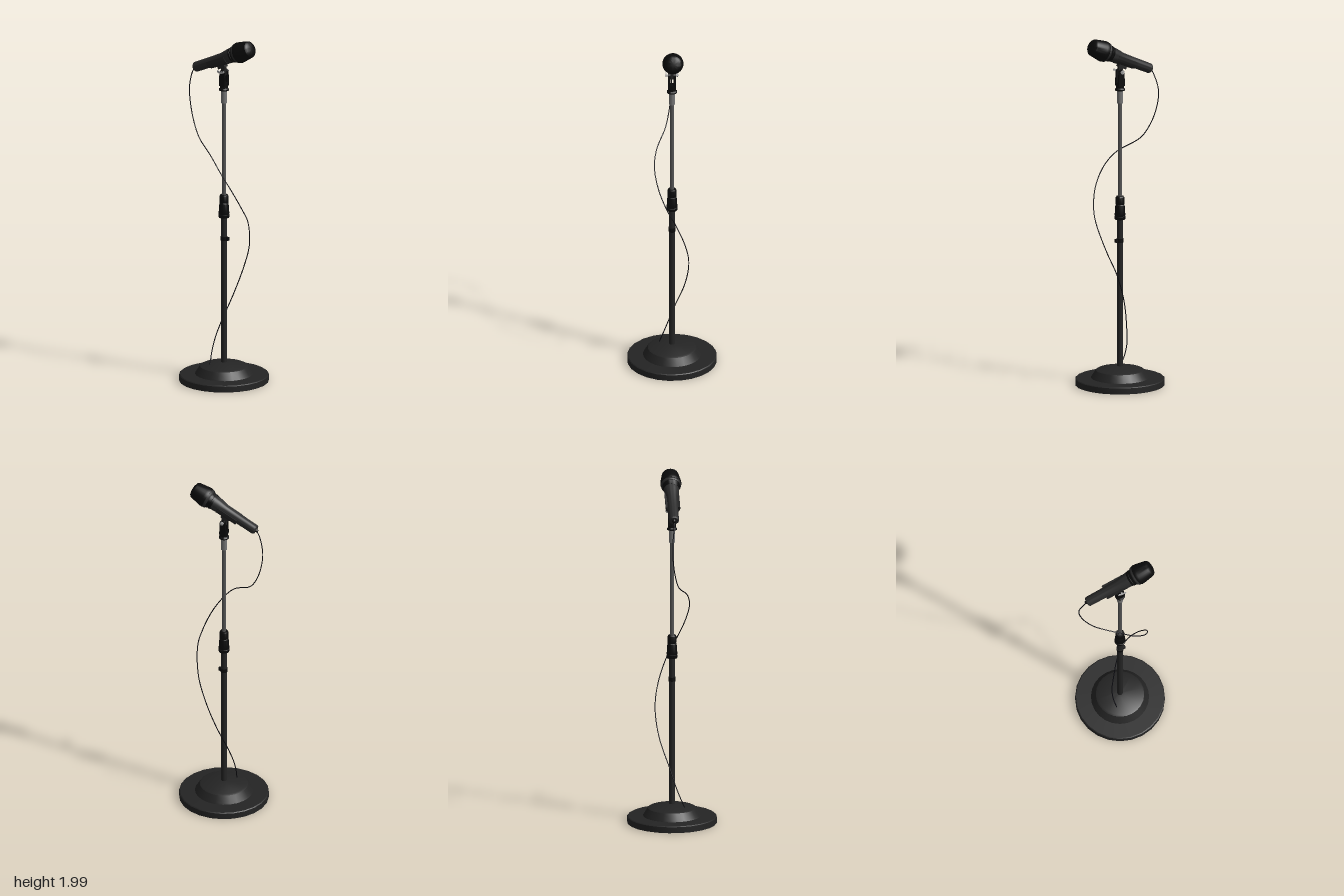
import * as THREE from 'three';
import { toCreasedNormals } from 'three/addons/utils/BufferGeometryUtils.js';

const mat = (color) => new THREE.MeshStandardMaterial({ color });
const dark = mat(0x242424), black = mat(0x0b0b0b), handleGrey = mat(0x2a2a2a);
const steel = mat(0x555555), sleeveGrey = mat(0x777777), silver = mat(0xaaaaaa);
const cableBlack = mat(0x0a0a10);

function add(parent, name, geometry, material) {
  const mesh = new THREE.Mesh(geometry, material);
  mesh.name = name;
  parent.add(mesh);
  return mesh;
}

// Turned part from [radius, height] pairs, bottom to top
function turned(parent, name, profile, material, sides = 24) {
  const pts = profile.map(([r, y]) => new THREE.Vector2(r, y));
  return add(parent, name, toCreasedNormals(new THREE.LatheGeometry(pts, sides), 0.5), material);
}

function buildStand(g) {
  // Weighted round base with a raised dome
  const base = turned(g, 'base', [[0, 0], [0.25, 0], [0.25, 0.034], [0.245, 0.038], [0.162, 0.04],
    [0.157, 0.048], [0.135, 0.083], [0.125, 0.088], [0.03, 0.106], [0, 0.106]], dark);
  base.rotation.y = Math.PI / 24;

  // Telescopic pole
  turned(g, 'lowerPole', [[0, 0.1], [0.016, 0.1], [0.016, 0.96], [0, 0.96]], dark);
  turned(g, 'upperPole', [[0, 0.95], [0.0125, 0.95], [0.0125, 1.62], [0, 1.62]], steel);
  turned(g, 'poleSleeve', [[0, 1.61], [0.018, 1.61], [0.018, 1.688], [0, 1.688]], sleeveGrey);

  // Height clutch
  turned(g, 'clutch', [[0, 0.945], [0.029, 0.945], [0.031, 0.95], [0.031, 0.962], [0.028, 0.964],
    [0.03, 0.97], [0.026, 1.025], [0.023, 1.03], [0.025, 1.035], [0.024, 1.07], [0.02, 1.077],
    [0, 1.077]], black);

  // Cable clip on the lower pole
  turned(g, 'cableClipRing', [[0, 0.812], [0.02, 0.812], [0.02, 0.834], [0, 0.834]], black);
  add(g, 'cableClipHook', new THREE.BoxGeometry(0.016, 0.018, 0.016), black).position.set(0, 0.823, 0.023);
}

function buildPivot(g) {
  turned(g, 'adapterCollar', [[0, 1.683], [0.028, 1.683], [0.029, 1.69], [0.022, 1.697], [0.021, 1.73],
    [0, 1.73]], black);

  // Two round-topped prongs either side of the clip lug
  const prong = new THREE.Shape();
  prong.moveTo(-0.02, 1.71);
  prong.lineTo(0.02, 1.71);
  prong.lineTo(0.016, 1.787);
  prong.absarc(0, 1.787, 0.016, 0, Math.PI);
  prong.closePath();
  for (const side of [1, -1]) {
    const geo = new THREE.ExtrudeGeometry(prong, { depth: 0.013, bevelEnabled: false, curveSegments: 8 });
    geo.translate(0, 0, -0.0065).rotateY(Math.PI / 2);
    add(g, side > 0 ? 'leftProng' : 'rightProng', geo, black).position.x = side * 0.0155;
  }
  add(g, 'clipLug', new THREE.BoxGeometry(0.017, 0.07, 0.026), dark).position.set(0, 1.805, -0.002);

  // Cross bolt with its head and wing nut
  const bolt = new THREE.CylinderGeometry(0.006, 0.006, 0.07, 12).rotateZ(Math.PI / 2);
  add(g, 'pivotBolt', bolt, silver).position.y = 1.79;
  const head = new THREE.CylinderGeometry(0.011, 0.011, 0.008, 6).rotateZ(Math.PI / 2);
  add(g, 'boltHead', toCreasedNormals(head, 0.5), silver).position.set(0.028, 1.79, 0);
  for (const side of [1, -1]) {
    const wing = add(g, 'wingNutWing', new THREE.BoxGeometry(0.005, 0.012, 0.022), silver);
    wing.position.set(-0.033, 1.794, side * 0.012);
    wing.rotation.x = -side * 0.4;
  }
}

// Built along local +y from tail to head; local +z ends up underneath
function buildMicrophone(g) {
  const mic = new THREE.Group();
  mic.name = 'microphone';
  mic.position.set(0, 1.783, -0.197);
  mic.rotation.x = THREE.MathUtils.degToRad(66);
  g.add(mic);

  turned(mic, 'handle', [[0, 0], [0.023, 0], [0.028, 0.007], [0.029, 0.12], [0.031, 0.205], [0.04, 0.255],
    [0.043, 0.283], [0, 0.283]], handleGrey, 32);
  turned(mic, 'neck', [[0, 0.28], [0.043, 0.28], [0.046, 0.292], [0.044, 0.294], [0.05, 0.312],
    [0, 0.312]], black, 32);
  turned(mic, 'headRing', [[0, 0.31], [0.052, 0.31], [0.056, 0.316], [0.056, 0.327], [0, 0.327]], handleGrey, 32);
  turned(mic, 'grille', [[0, 0.325], [0.057, 0.325], [0.059, 0.332], [0.058, 0.345], [0.049, 0.398],
    [0.046, 0.41], [0.038, 0.418], [0.022, 0.423], [0, 0.424]], black, 32);

  // Cradle clip wrapping the lower half of the handle
  const arc = new THREE.Shape();
  arc.absarc(0, 0, 0.041, -0.2, Math.PI + 0.2, false);
  arc.absarc(0, 0, 0.03, Math.PI + 0.2, -0.2, true);
  arc.closePath();
  const cradle = new THREE.ExtrudeGeometry(arc, { depth: 0.13, bevelEnabled: false, curveSegments: 20 });
  cradle.rotateX(Math.PI / 2).translate(0, 0.245, 0);
  // Thin the cradle towards the tail
  const p = cradle.attributes.position;
  for (let i = 0; i < p.count; i++) {
    if (p.getZ(i) > 0.02 && p.getY(i) < 0.15) p.setZ(i, p.getZ(i) * 0.86);
  }
  add(mic, 'clipCradle', toCreasedNormals(cradle, 0.5), dark);
  add(mic, 'clipBoss', new THREE.BoxGeometry(0.03, 0.05, 0.02), dark).position.set(0, 0.185, 0.042);
  turned(mic, 'cablePlug', [[0, -0.012], [0.008, -0.012], [0.012, 0.002], [0, 0.002]], black, 12);
}

// Loose cable winding from the tail down to the base
function buildCable(g) {
  const path = [
    [0, 1.785, -0.195], [0, 1.755, -0.215], [0.01, 1.655, -0.243], [0.005, 1.54, -0.228],
    [-0.012, 1.44, -0.187], [-0.03, 1.385, -0.145], [-0.085, 1.31, -0.025], [-0.1, 1.235, 0.045],
    [-0.08, 1.13, 0.111], [-0.035, 1.02, 0.15], [0.005, 0.945, 0.159], [0.065, 0.79, 0.127],
    [0.09, 0.65, 0.072], [0.072, 0.49, 0.016], [0.012, 0.31, -0.037], [-0.012, 0.235, -0.053],
    [-0.038, 0.165, -0.056], [-0.07, 0.09, -0.047],
  ].map((q) => new THREE.Vector3(...q));
  add(g, 'cable', new THREE.TubeGeometry(new THREE.CatmullRomCurve3(path), 160, 0.0028, 8), cableBlack);
}

export function createModel() {
  const g = new THREE.Group();
  g.name = 'microphoneStand';
  buildStand(g);
  buildPivot(g);
  buildMicrophone(g);
  buildCable(g);
  return g;
}
